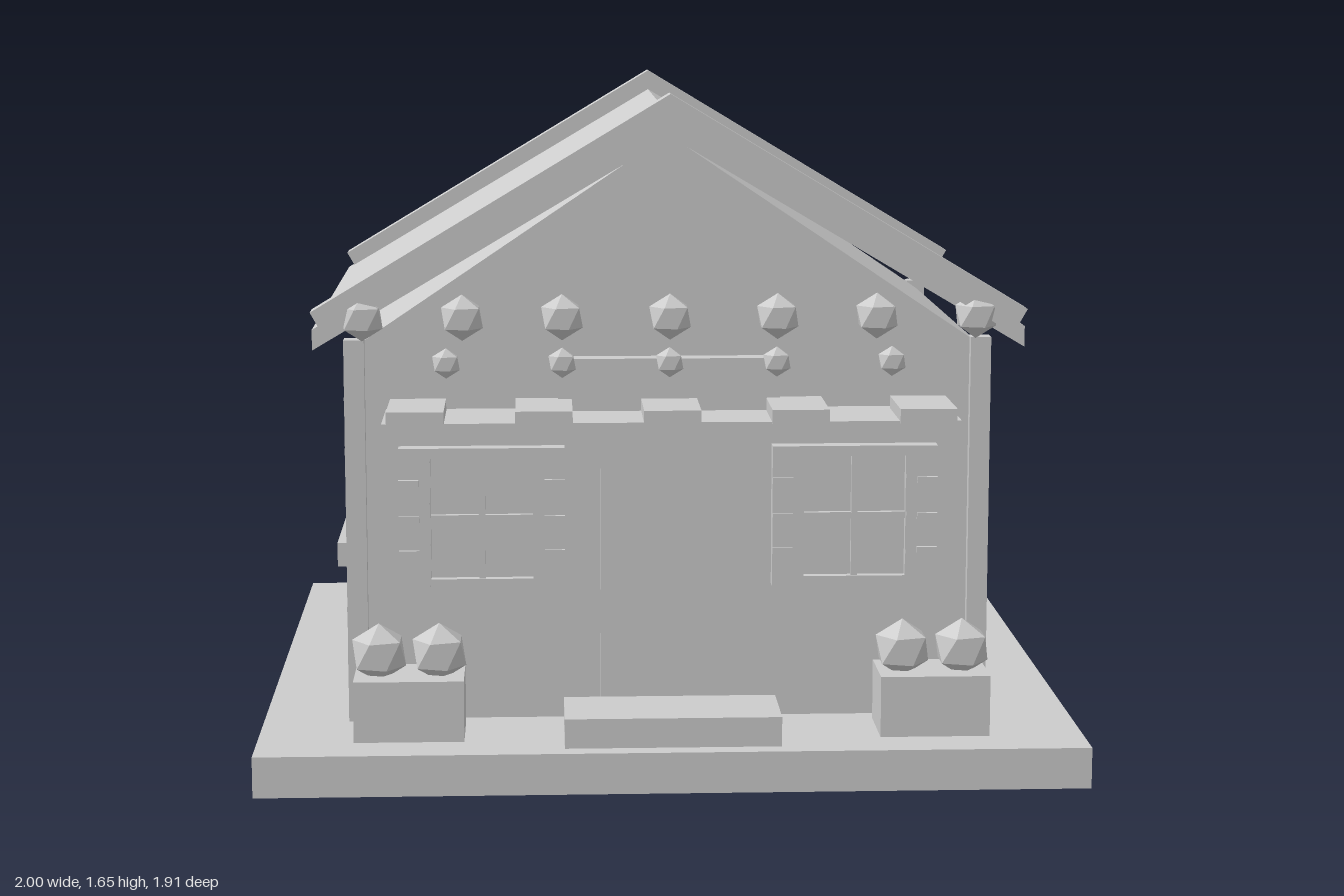
import * as THREE from 'three';

const grey = new THREE.MeshStandardMaterial({ color: 0xcccccc });
grey.name = 'light grey';

export function createModel() {
  const root = new THREE.Group();
  root.name = 'cottage';

  const add = (parent, name, geometry) => {
    const mesh = new THREE.Mesh(geometry, grey);
    mesh.name = name;
    parent.add(mesh);
    return mesh;
  };
  // Box given by its limits on each axis
  const box = (parent, name, x0, x1, y0, y1, z0, z1) => {
    const mesh = add(parent, name, new THREE.BoxGeometry(x1 - x0, y1 - y0, z1 - z0));
    mesh.position.set((x0 + x1) / 2, (y0 + y1) / 2, (z0 + z1) / 2);
    return mesh;
  };
  // Outline in x, y extruded from z0 to z1
  const slab = (name, points, z0, z1) => {
    const shape = new THREE.Shape(points.map(([x, y]) => new THREE.Vector2(x, y)));
    const g = new THREE.ExtrudeGeometry(shape, { depth: z1 - z0, bevelEnabled: false });
    return add(root, name, g.translate(0, 0, z0));
  };
  // Faceted ball with one corner pointing up
  const ball = (name, r, x, y, z, depth = 1) => {
    const g = new THREE.IcosahedronGeometry(r, 0);
    g.rotateZ(Math.atan(2 / (1 + Math.sqrt(5)))).scale(1, 1, depth);
    g.computeVertexNormals();
    add(root, name, g).position.set(x, y, z);
  };
  // Rectangular frame with a recessed pane and crossed glazing bars
  const windowUnit = (parent, x0, x1, y0, y1, z, t) => {
    const cx = (x0 + x1) / 2, cy = (y0 + y1) / 2;
    box(parent, 'windowPane', x0, x1, y0, y1, z - 0.03, z + 0.012);
    for (const [a, b] of [[x0, x0 + t], [x1 - t, x1]])
      box(parent, 'windowFrameSide', a, b, y0, y1, z, z + 0.035);
    for (const [a, b] of [[y0, y0 + t], [y1 - t, y1]])
      box(parent, 'windowFrameRail', x0 + t, x1 - t, a, b, z, z + 0.035);
    box(parent, 'windowMullion', cx - 0.008, cx + 0.008, y0 + t, y1 - t, z, z + 0.028);
    box(parent, 'windowCrossbar', x0 + t, x1 - t, cy - 0.008, cy + 0.008, z, z + 0.026);
  };

  // Ground slab and house body
  box(root, 'base', -1, 1, 0, 0.1, -0.955, 0.955);
  slab('walls', [[-0.765, 0.1], [0.765, 0.1], [0.765, 1.03], [0, 1.545], [-0.765, 1.03]], -0.615, 0.615);

  // Roof and raised gable trims
  slab('roof', [[0, 1.595], [-0.86, 1.085], [-0.86, 1.035], [0, 1.545], [0.86, 1.035], [0.86, 1.085]], -0.708, 0.708);
  for (const z of [-0.735, 0.662])
    slab('gableTrim', [[0, 1.648], [-0.862, 1.13], [-0.828, 1.07], [0, 1.568], [0.828, 1.07], [0.862, 1.13]], z, z + 0.073);

  for (const s of [-1, 1]) {
    // Corner posts
    for (const e of [-1, 1])
      box(root, 'cornerPost', s * 0.765 - 0.025, s * 0.765 + 0.025, 0.1, 1.05, e * 0.615 - 0.025, e * 0.615 + 0.025);

    // Side boards and side window, built facing +z and turned outwards
    const side = new THREE.Group();
    side.name = s > 0 ? 'leftSide' : 'rightSide';
    side.rotation.y = s * Math.PI / 2;
    root.add(side);
    for (const y of [0.24, 0.37, 0.503, 0.767, 0.895])
      box(side, 'wallBoard', -0.59, 0.59, y - 0.008, y + 0.008, 0.75, 0.794);
    windowUnit(side, -0.165, 0.165, 0.455, 0.785, 0.78, 0.024);
    box(side, 'windowSill', -0.2, 0.2, 0.397, 0.46, 0.76, 0.843);
  }

  // Front and back windows with shutters
  for (const e of [1, -1]) {
    const wall = new THREE.Group();
    wall.name = e > 0 ? 'frontWindows' : 'backWindows';
    wall.rotation.y = e > 0 ? 0 : Math.PI;
    root.add(wall);
    for (const s of [-1, 1]) {
      const c = s * 0.4575;
      windowUnit(wall, c - 0.15, c + 0.15, 0.435, 0.785, 0.62, 0.025);
      for (const k of [-1, 1]) {
        box(wall, 'shutter', c + k * 0.165 - 0.038, c + k * 0.165 + 0.038, 0.435, 0.785, 0.6, 0.656);
        for (const y of [0.525, 0.61, 0.7])
          box(wall, 'shutterSlat', c + k * 0.178 - 0.025, c + k * 0.178 + 0.025, y - 0.008, y + 0.008, 0.65, 0.665);
      }
    }
  }

  // Front door, step and sign board
  box(root, 'frontDoor', -0.168, 0.168, 0.1, 0.808, 0.6, 0.657);
  box(root, 'frontStep', -0.26, 0.26, 0.1, 0.172, 0.7, 0.91);
  box(root, 'signBoard', -0.27, 0.27, 0.87, 1.005, 0.6, 0.665);

  // Back door with its frame
  box(root, 'backDoor', -0.17, 0.17, 0.1, 0.845, -0.65, -0.6);
  for (const s of [-1, 1])
    box(root, 'backDoorJamb', s * 0.19 - 0.02, s * 0.19 + 0.02, 0.1, 0.845, -0.692, -0.6);
  box(root, 'backDoorLintel', -0.21, 0.21, 0.845, 0.885, -0.692, -0.6);

  // Awning with raised stripes
  box(root, 'awning', -0.69, 0.69, 0.828, 0.877, 0.6, 0.845);
  for (let i = -2; i <= 2; i++)
    box(root, 'awningStripe', i * 0.305 - 0.068, i * 0.305 + 0.068, 0.872, 0.907, 0.645, 0.857);

  // Planters with shrubs at the four corners
  for (const e of [-1, 1]) for (const s of [-1, 1]) {
    box(root, 'planter', s * 0.632 - 0.132, s * 0.632 + 0.132, 0.112, 0.26, e * 0.793 - 0.088, e * 0.793 + 0.088);
    for (const x of [0.56, 0.705]) ball('shrub', 0.072, s * x, 0.312, e * 0.795);
  }

  // Gable ornaments and small lights
  for (const x of [-0.74, -0.5, -0.26, 0, 0.26, 0.5, 0.74]) ball('gableOrnament', 0.056, x, 1.113, 0.71);
  for (const x of [-0.54, -0.26, 0, 0.26, 0.54])
    for (const z of [-0.693, 0.693]) ball('smallLight', 0.037, x, 1, z, 0.7);

  return root;
}
